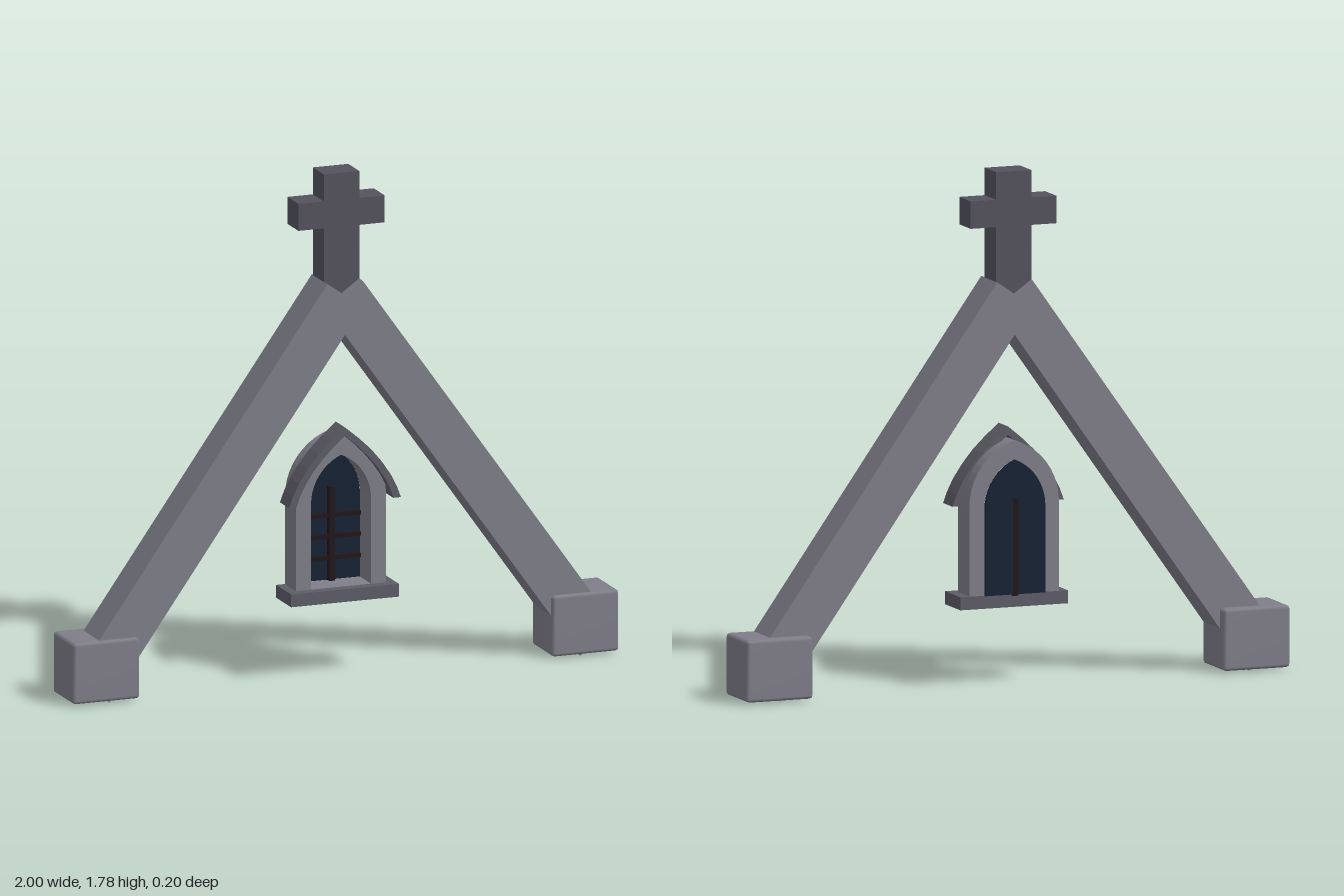
import * as THREE from 'three';
import { mergeVertices } from 'three/addons/utils/BufferGeometryUtils.js';
import { RoundedBoxGeometry } from 'three/addons/geometries/RoundedBoxGeometry.js';

const material = (color) => new THREE.MeshStandardMaterial({ color });

export function createModel() {
  const model = new THREE.Group();
  model.name = 'gableWithWindow';
  const stone = material(0x7f7e89);
  const trim = material(0x5d5c66);
  const darkStone = material(0x54535e);
  const glass = material(0x172234);
  const lead = material(0x21161a);

  function add(name, geometry, mat, x = 0, y = 0, z = 0) {
    const mesh = new THREE.Mesh(geometry, mat);
    mesh.name = name;
    mesh.position.set(x, y, z);
    model.add(mesh);
    return mesh;
  }

  // Extrude a shape between two depths
  function slab(name, shape, z0, z1, mat) {
    const geometry = new THREE.ExtrudeGeometry(shape, { depth: z1 - z0, bevelEnabled: false, curveSegments: 12 });
    return add(name, geometry, mat, 0, 0, z0);
  }

  // Points over a pointed arch from right foot to left foot, made of two arcs
  function archPoints(halfWidth, spring, apex, steps = 10) {
    const h = apex - spring;
    const r = (halfWidth ** 2 + h ** 2) / (2 * halfWidth);
    const end = Math.asin(h / r) ;
    const a = r > halfWidth ? end : Math.PI - end;
    const right = [];
    for (let i = 0; i <= steps; i++) {
      const t = (a * i) / steps;
      right.push(new THREE.Vector2(halfWidth - r + r * Math.cos(t), spring + r * Math.sin(t)));
    }
    right[steps].x = 0;
    const left = right.slice(0, -1).reverse().map((p) => new THREE.Vector2(-p.x, p.y));
    return [...right, ...left];
  }

  function archOutline(halfWidth, base, spring, apex) {
    return [
      new THREE.Vector2(-halfWidth, base),
      new THREE.Vector2(halfWidth, base),
      ...archPoints(halfWidth, spring, apex),
    ];
  }

  // Sloping beams and softened foot blocks
  const slope = Math.atan(1.407);
  const blockGeometry = new RoundedBoxGeometry(0.245, 0.215, 0.196, 1, 0.012);
  blockGeometry.deleteAttribute('normal');
  blockGeometry.deleteAttribute('uv');
  blockGeometry.clearGroups();
  const softBlock = mergeVertices(blockGeometry, 1e-4);
  softBlock.computeVertexNormals();
  for (const [side, s] of [['left', 1], ['right', -1]]) {
    const beam = add(side + 'Beam', new THREE.BoxGeometry(1.603, 0.16, 0.145), stone,
      s * 0.8 * Math.cos(slope), 1.354 - 0.8 * Math.sin(slope), 0.0125);
    beam.rotation.z = -s * slope;
    add(side + 'FootBlock', softBlock, stone, s * 0.8775, 0.1175, 0.001);
  }

  // Cross on the ridge
  const half = [[0.065, 1.3], [0.065, 1.59], [0.158, 1.59], [0.158, 1.685], [0.065, 1.685], [0.065, 1.78]];
  const crossOutline = [...half, ...half.map(([x, y]) => [-x, y]).reverse()];
  slab('ridgeCross', new THREE.Shape(crossOutline.map(([x, y]) => new THREE.Vector2(x, y))), -0.05, 0.053, darkStone);

  // Window frame with a pointed opening
  const frame = new THREE.Shape(archOutline(0.165, 0.32, 0.63, 0.85));
  frame.holes.push(new THREE.Path(archOutline(0.11, 0.32001, 0.62, 0.785).reverse()));
  slab('windowFrame', frame, -0.055, 0.048, stone);
  slab('windowPane', new THREE.Shape(archOutline(0.11, 0.32, 0.62, 0.785)), -0.067, -0.056, glass);
  add('windowSill', new THREE.BoxGeometry(0.395, 0.045, 0.14), trim, 0, 0.2975, 0.015);

  // Glazing bars
  add('uprightBar', new THREE.BoxGeometry(0.02, 0.335, 0.032), lead, 0, 0.4825, -0.0515);
  for (const y of [0.4, 0.475, 0.55]) {
    add('crossBar', new THREE.BoxGeometry(0.215, 0.014, 0.02), lead, 0, y, -0.05);
  }

  // Hood moulding over the arch, with flared feet
  const outer = [[0.205, 0.625], [0.19, 0.665], [0.168, 0.708], [0.135, 0.757], [0.095, 0.805], [0.05, 0.848], [0, 0.89]];
  const inner = [[0.177, 0.625], [0.165, 0.66], [0.146, 0.698], [0.117, 0.742], [0.081, 0.785], [0.042, 0.824], [0, 0.861]];
  const mirror = (points) => points.slice(0, -1).reverse().map(([x, y]) => [-x, y]);
  const hood = [...outer, ...mirror(outer), ...[...inner, ...mirror(inner)].reverse()];
  slab('windowHood', new THREE.Shape(hood.map(([x, y]) => new THREE.Vector2(x, y))), 0, 0.085, trim);

  return model;
}
